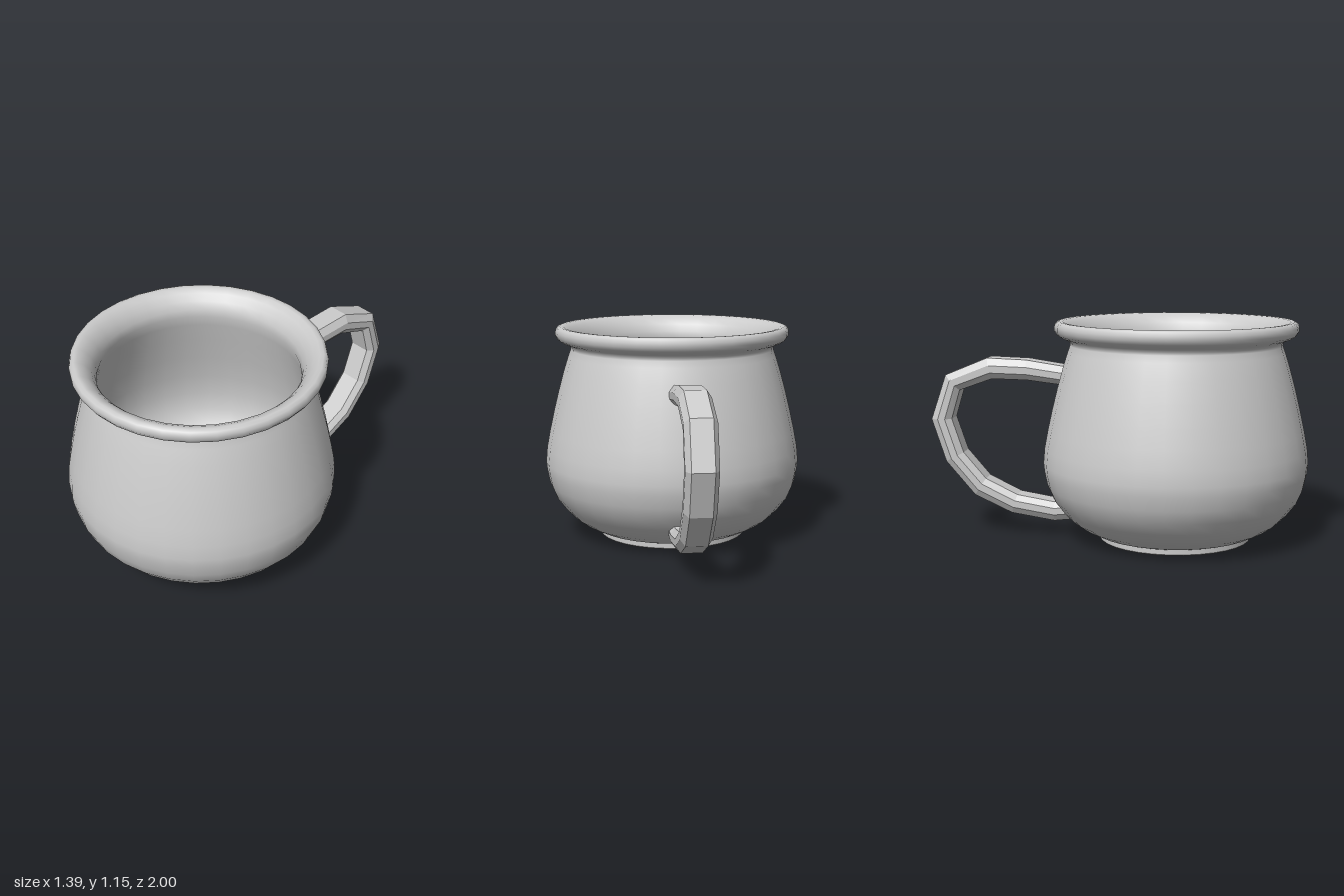
import * as THREE from 'three';
import { toCreasedNormals } from 'three/addons/utils/BufferGeometryUtils.js';

const SEGMENTS = 32;
const lathe = (profile) =>
  new THREE.LatheGeometry(profile.map(([r, y]) => new THREE.Vector2(r, y)), SEGMENTS);

// Skins a closed cross-section along a strip given by its outer and inner [z, y] edges
function createHandleGeometry(outer, inner) {
  // [x, blend from outer to inner edge]
  const section = [
    [0.055, 0], [0.08, 0.35], [0.08, 0.7], [0.055, 1],
    [-0.055, 1], [-0.08, 0.7], [-0.08, 0.35], [-0.055, 0],
  ];
  const n = section.length;
  const positions = [];
  const index = [];
  outer.forEach(([zo, yo], i) => {
    const [zi, yi] = inner[i];
    for (const [x, t] of section) {
      positions.push(x, THREE.MathUtils.lerp(yo, yi, t), THREE.MathUtils.lerp(zo, zi, t));
    }
  });
  for (let i = 0; i < outer.length - 1; i++) {
    for (let j = 0; j < n; j++) {
      const a = i * n + j;
      const b = i * n + ((j + 1) % n);
      index.push(a, b, a + n, b, b + n, a + n);
    }
  }
  // End caps
  const last = (outer.length - 1) * n;
  for (let j = 1; j < n - 1; j++) {
    index.push(0, j + 1, j, last, last + j, last + j + 1);
  }
  const geometry = new THREE.BufferGeometry();
  geometry.setAttribute('position', new THREE.Float32BufferAttribute(positions, 3));
  geometry.setIndex(index);
  geometry.computeVertexNormals();
  return geometry;
}

export function createModel() {
  const group = new THREE.Group();
  const smooth = new THREE.MeshStandardMaterial({ color: 0xcccccc });
  const faceted = new THREE.MeshStandardMaterial({ color: 0xcccccc, flatShading: true });

  const add = (name, geometry, material, z = 0) => {
    const mesh = new THREE.Mesh(geometry, material);
    mesh.name = name;
    mesh.position.z = z;
    group.add(mesh);
  };
  const potZ = 0.305;

  // Foot ring with recessed underside
  add('foot', toCreasedNormals(lathe([
    [0, 0.03], [0.345, 0.03], [0.355, 0.006], [0.365, 0], [0.395, 0], [0.4, 0.005], [0.4, 0.032],
  ]), 0.7), smooth, potZ);

  // Bellied wall, rolled rim and hollow inside as one closed profile
  add('body', lathe([
    [0.398, 0.03], [0.43, 0.04], [0.5, 0.075], [0.55, 0.11], [0.595, 0.155], [0.645, 0.22],
    [0.675, 0.29], [0.69, 0.36], [0.695, 0.41], [0.688, 0.49], [0.671, 0.58], [0.647, 0.69],
    [0.62, 0.8], [0.59, 0.91], [0.565, 0.99], [0.552, 1.025],
    // rim
    [0.553, 1.04], [0.565, 1.053], [0.595, 1.065], [0.62, 1.08], [0.633, 1.1], [0.634, 1.122],
    [0.627, 1.142], [0.61, 1.15], [0.59, 1.148], [0.56, 1.132], [0.53, 1.1], [0.512, 1.06],
    // inside
    [0.506, 1.02], [0.52, 0.96], [0.55, 0.85], [0.59, 0.7], [0.625, 0.55], [0.64, 0.42],
    [0.63, 0.32], [0.595, 0.23], [0.53, 0.155], [0.44, 0.105], [0.32, 0.078], [0.2, 0.07], [0, 0.07],
  ]), smooth, potZ);

  // Looped handle on the back
  add('handle', createHandleGeometry(
    [[-0.265, 0.907], [-0.48, 0.94], [-0.69, 0.948], [-0.915, 0.855], [-0.995, 0.617],
      [-0.92, 0.39], [-0.765, 0.21], [-0.565, 0.117], [-0.335, 0.08], [-0.2, 0.095]],
    [[-0.28, 0.81], [-0.475, 0.834], [-0.665, 0.838], [-0.84, 0.775], [-0.886, 0.62],
      [-0.825, 0.44], [-0.705, 0.3], [-0.535, 0.216], [-0.335, 0.182], [-0.23, 0.19]],
  ), faceted);

  return group;
}
